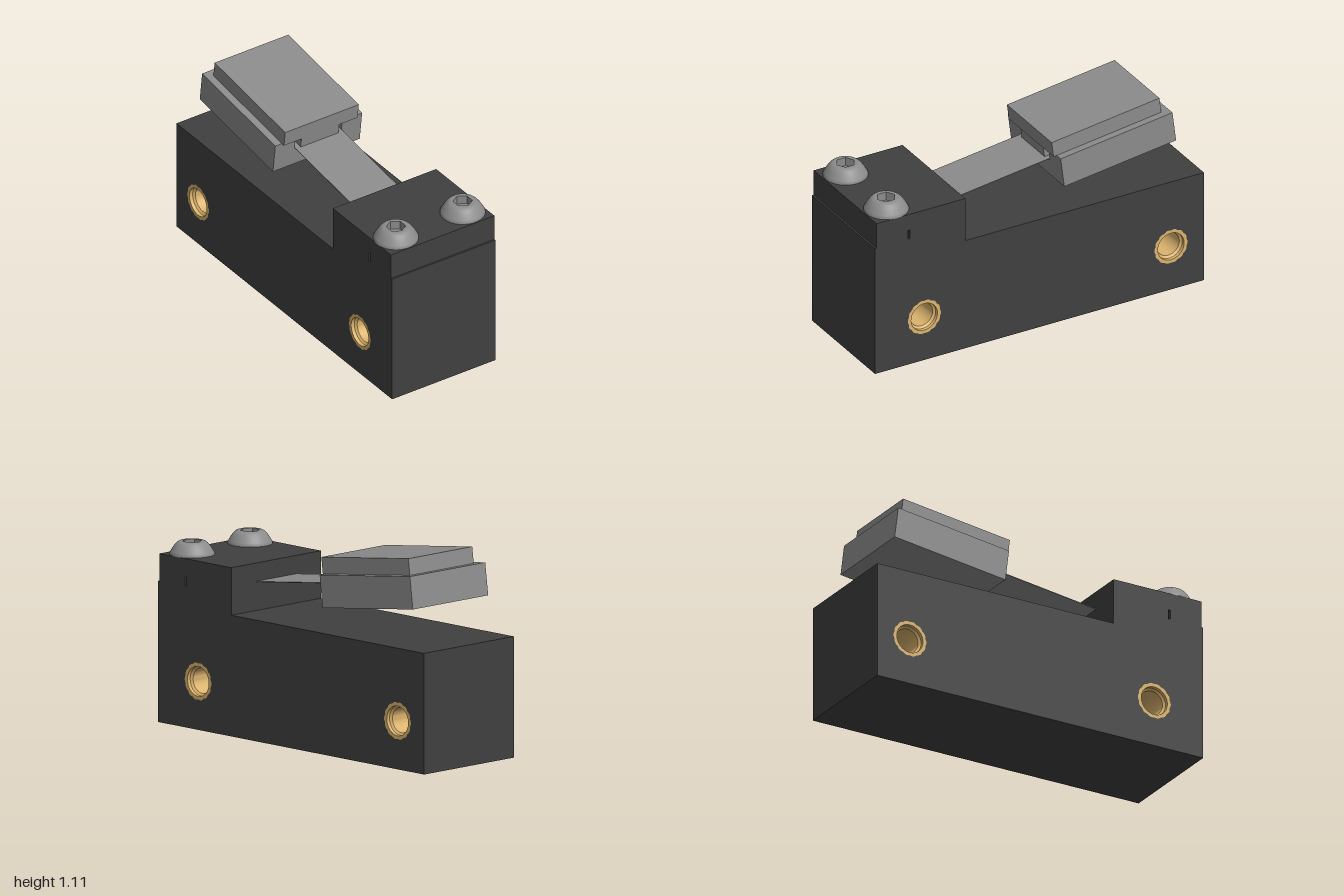
import * as THREE from 'three';
import { toCreasedNormals } from 'three/addons/utils/BufferGeometryUtils.js';

const HALF = 0.33;          // half width of the body
const SLEEVE = 0.2;         // depth of the threaded inserts
const INSERTS = [[0.7, 0.26], [-0.8, 0.26]]; // z, y
const TILT = 0.127;

const bodyMat = new THREE.MeshStandardMaterial({ color: 0x404040 });
const steelMat = new THREE.MeshStandardMaterial({ color: 0x8c8c8c });
const brassMat = new THREE.MeshStandardMaterial({ color: 0xdcb46e });

function add(parent, name, geometry, material, x = 0, y = 0, z = 0) {
  const mesh = new THREE.Mesh(geometry, material);
  mesh.name = name;
  mesh.position.set(x, y, z);
  parent.add(mesh);
  return mesh;
}

function box(parent, name, [x0, x1], [y0, y1], [z0, z1], material) {
  return add(parent, name, new THREE.BoxGeometry(x1 - x0, y1 - y0, z1 - z0), material,
    (x0 + x1) / 2, (y0 + y1) / 2, (z0 + z1) / 2);
}

// Closed outline given by a radius rule around a centre
function ring(Type, cx, cy, n, radius, start = 0) {
  const pts = [];
  for (let i = 0; i < n; i++) {
    const a = start + (i / n) * Math.PI * 2;
    const r = radius(a);
    pts.push(new THREE.Vector2(cx + r * Math.cos(a), cy + r * Math.sin(a)));
  }
  return new Type(pts);
}
const knurl = (a) => 0.096 + 0.005 * Math.abs(Math.cos(a * 7));

function extrude(shape, depth) {
  const g = new THREE.ExtrudeGeometry(shape, { depth, bevelEnabled: false, curveSegments: 32 });
  return toCreasedNormals(g, 0.5);
}

// Side profile of the stepped body: shape x is model z
function bodyShape(withHoles) {
  const s = new THREE.Shape([
    [-1, 0], [1, 0], [1, 0.757], [0.99, 0.757], [0.99, 0.905], [0.45, 0.905], [0.45, 0.65], [-1, 0.65],
  ].map(([z, y]) => new THREE.Vector2(z, y)));
  if (withHoles) {
    for (const [z, y] of INSERTS) s.holes.push(ring(THREE.Path, z, y, 112, knurl));
    s.holes.push(new THREE.Path([[0.786, 0.757], [0.798, 0.757], [0.798, 0.81], [0.786, 0.81]]
      .map(([z, y]) => new THREE.Vector2(z, y))));
  }
  return s;
}

// Extrudes a z-y profile from x = xMax towards -x
function slab(parent, name, shape, xMax, depth, material) {
  const m = add(parent, name, extrude(shape, depth), material, xMax);
  m.rotation.y = -Math.PI / 2;
  return m;
}

function makeBody() {
  const g = new THREE.Group();
  g.name = 'body';
  slab(g, 'bodyCore', bodyShape(false), HALF - SLEEVE, 2 * (HALF - SLEEVE), bodyMat);
  slab(g, 'leftBodySide', bodyShape(true), HALF, SLEEVE, bodyMat);
  slab(g, 'rightBodySide', bodyShape(true), -HALF + SLEEVE, SLEEVE, bodyMat);
  return g;
}

// Knurled insert: face ring, chamfered mouth and bore
function makeInsert() {
  const g = new THREE.Group();
  g.name = 'threadedInsert';
  const face = ring(THREE.Shape, 0, 0, 112, knurl);
  face.holes.push(ring(THREE.Path, 0, 0, 48, () => 0.08));
  add(g, 'insertRim', extrude(face, 0.02), brassMat, 0, 0, -0.02);
  const bore = [[0.08, -0.02], [0.068, -0.03], [0.068, -SLEEVE]].map(([r, y]) => new THREE.Vector2(r, y));
  const mat = brassMat.clone();
  mat.side = THREE.DoubleSide;
  const m = add(g, 'insertBore', toCreasedNormals(new THREE.LatheGeometry(bore, 48), 0.5), mat);
  m.rotation.x = Math.PI / 2;
  return g;
}

// Button-head screw with a hexagonal socket
function makeScrew() {
  const g = new THREE.Group();
  g.name = 'screw';
  const profile = [new THREE.Vector2(0.12, 0)];
  for (let i = 0; i <= 8; i++) {
    const t = i / 8;
    profile.push(new THREE.Vector2(0.12 - 0.058 * t, 0.005 + 0.065 * Math.sin(t * Math.PI / 2)));
  }
  add(g, 'screwDome', toCreasedNormals(new THREE.LatheGeometry(profile, 48), 0.6), steelMat);
  const top = ring(THREE.Shape, 0, 0, 48, () => 0.062);
  top.holes.push(ring(THREE.Path, 0, 0, 6, () => 0.052, Math.PI / 2));
  add(g, 'socketWall', extrude(top, 0.05), steelMat, 0, 0.02, 0).rotation.x = -Math.PI / 2;
  add(g, 'socketFloor', new THREE.CircleGeometry(0.06, 24), steelMat, 0, 0.022, 0).rotation.x = -Math.PI / 2;
  return g;
}

// Tilted arm: leaf spring carrying a two-part head
function makeArm() {
  const g = new THREE.Group();
  g.name = 'springArm';
  box(g, 'leafSpring', [-0.15, 0.15], [-0.064, -0.06], [-0.06, 0.85], steelMat);

  // Lower block, notched at the front for the spring
  const w = 0.277, n = 0.15, back = -0.685, notch = -0.06;
  box(g, 'headBase', [-w, w], [-0.175, 0], [back, notch], steelMat);
  box(g, 'headBaseLip', [-w, w], [-0.175, -0.064], [notch, 0], steelMat);
  for (const s of [-1, 1]) {
    box(g, 'headBaseCorner', s < 0 ? [-w, -n] : [n, w], [-0.064, 0], [notch, 0], steelMat);
  }
  // Upper plate with the tongue that clamps the spring
  box(g, 'headPlate', [-0.235, 0.235], [0, 0.089], [-0.641, 0.019], steelMat);
  box(g, 'clampTongue', [-0.12, 0.12], [-0.06, 0], [notch, 0.015], steelMat);

  g.position.set(0, 0.945, -0.16);
  g.rotation.x = TILT;
  return g;
}

export function createModel() {
  const model = new THREE.Group();
  model.name = 'leafSpringSwitch';
  model.add(makeBody(), makeArm());
  for (const s of [-1, 1]) {
    for (const [z, y] of INSERTS) {
      const insert = makeInsert();
      insert.position.set(s * HALF, y, z);
      insert.rotation.y = s * Math.PI / 2;
      model.add(insert);
    }
    const screw = makeScrew();
    screw.position.set(s * 0.213, 0.905, 0.865);
    model.add(screw);
  }
  return model;
}
